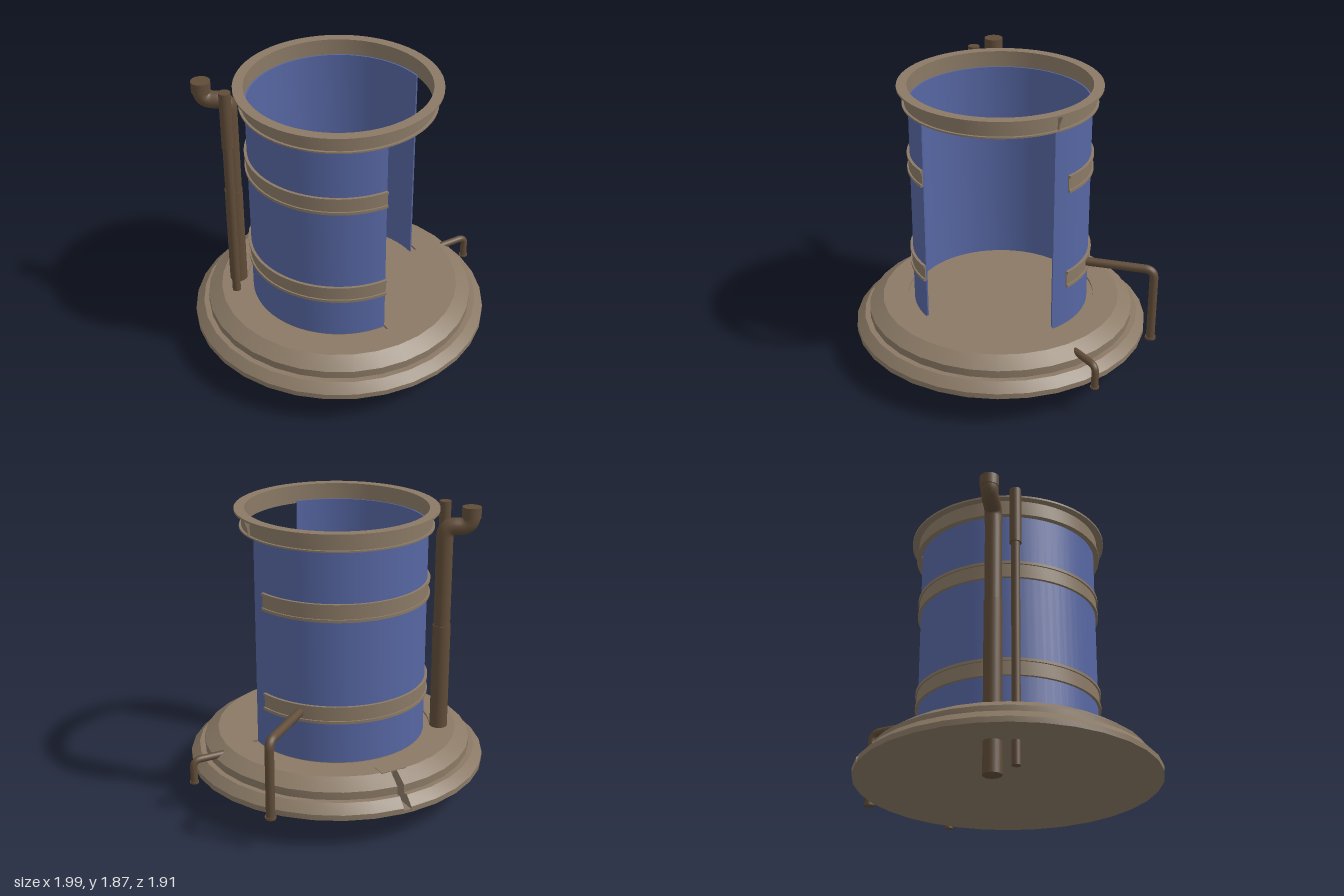
import * as THREE from 'three';
import { toCreasedNormals } from 'three/addons/utils/BufferGeometryUtils.js';

const PI = Math.PI;
const V = (x, y, z) => new THREE.Vector3(x, y, z);

export function createModel() {
  const mat = (name, color, side = THREE.FrontSide) => {
    const m = new THREE.MeshStandardMaterial({ color, side });
    m.name = name;
    return m;
  };
  const tan = mat('tan metal', 0x8a7965, THREE.DoubleSide);
  const blue = mat('blue wall', 0x5666a2, THREE.DoubleSide);
  const brown = mat('dark brown pipe', 0x604c38);

  const model = new THREE.Group();
  model.name = 'cylindricalTank';
  // Everything round shares one axis, slightly left of centre
  const body = new THREE.Group();
  body.name = 'tankBody';
  body.position.x = -0.045;
  model.add(body);

  const add = (parent, name, geo, material) => {
    const mesh = new THREE.Mesh(geo, material);
    mesh.name = name;
    parent.add(mesh);
    return mesh;
  };

  // Revolve a closed [radius, y] profile (counter-clockwise); 0 is the front, PI/2 the left side
  function ring(name, profile, material, start = 0, end = 2 * PI, segs = 64) {
    const group = new THREE.Group();
    group.name = name;
    body.add(group);
    const pts = profile.map(p => new THREE.Vector2(...p));
    const closed = [...pts, pts[0].clone()];
    const lathe = new THREE.LatheGeometry(closed, segs, start, end - start);
    add(group, name + 'Surface', toCreasedNormals(lathe, 0.5), material);
    if (end - start < 2 * PI - 0.001) {
      for (const phi of [start, end]) {
        const cap = add(group, name + 'End', new THREE.ShapeGeometry(new THREE.Shape(pts)), material);
        cap.rotation.y = phi - PI / 2;
      }
    }
    return group;
  }
  const rect = (r0, r1, y0, y1) => [[r0, y0], [r1, y0], [r1, y1], [r0, y1]];

  // Stepped base with a narrow radial slot at the back
  const slot = 0.053;
  ring('steppedBase', [[0.72, 0.2], [0.955, 0.2], [0.955, 0.235], [0.9, 0.29], [0.865, 0.29],
    [0.865, 0.34], [0.775, 0.4], [0.72, 0.4]], tan, PI, 3 * PI - slot, 32);
  ring('slotFloor', rect(0.72, 0.953, 0.2, 0.22), tan, PI - slot, PI, 2);
  ring('baseCore', rect(0, 0.725, 0.2, 0.385), tan);
  ring('baseTop', rect(0.61, 0.725, 0.385, 0.4), tan);
  ring('floor', rect(0, 0.565, 0.385, 0.4), tan);
  ring('threshold', rect(0.565, 0.61, 0.385, 0.4), tan, 0, PI / 2, 16);
  const head = add(body, 'slotHead', new THREE.BoxGeometry(0.17, 0.006, 0.09), tan);
  head.position.set(0.02, 0.4, -0.73);

  // Three-quarter wall, open at the front left
  ring('wall', rect(0.557, 0.567, 0.39, 1.76), blue, PI / 2, 2 * PI, 54);

  // Flanged bands around the wall
  for (const [name, y] of [['lowerBand', 0.655], ['upperBand', 1.31]]) {
    ring(name, [[0.566, y], [0.585, y], [0.585, y + 0.018], [0.575, y + 0.018],
      [0.575, y + 0.094], [0.585, y + 0.094], [0.585, y + 0.112], [0.566, y + 0.112]],
    tan, 1.763, 2 * PI, 52);
  }

  // Top rim with flanges and a small gusset
  ring('rim', [[0.57, 1.745], [0.605, 1.745], [0.605, 1.755], [0.59, 1.755],
    [0.59, 1.85], [0.635, 1.85], [0.635, 1.863], [0.57, 1.863]], tan);
  const gusset = new THREE.Shape([[0.588, 1.755], [0.6, 1.755], [0.608, 1.8], [0.63, 1.851],
    [0.588, 1.851]].map(p => new THREE.Vector2(...p)));
  add(body, 'rimGusset', new THREE.ExtrudeGeometry(gusset, { depth: 0.008, bevelEnabled: false }), tan)
    .position.z = -0.004;

  // Upright round piece between two heights
  function upright(name, x, z, r, y0, y1) {
    add(model, name, new THREE.CylinderGeometry(r, r, y1 - y0, 24), brown)
      .position.set(x, (y0 + y1) / 2, z);
  }
  // Tube along straight runs with rounded corners
  function bentPipe(name, pts, r, bend) {
    const path = new THREE.CurvePath();
    let from = pts[0];
    for (let i = 1; i < pts.length - 1; i++) {
      const p = pts[i];
      const a = p.clone().add(pts[i - 1].clone().sub(p).setLength(bend));
      const b = p.clone().add(pts[i + 1].clone().sub(p).setLength(bend));
      path.add(new THREE.LineCurve3(from, a));
      path.add(new THREE.QuadraticBezierCurve3(a, p, b));
      from = b;
    }
    path.add(new THREE.LineCurve3(from, pts[pts.length - 1]));
    add(model, name, new THREE.TubeGeometry(path, 80, r, 16), brown);
  }

  // Main pipe with an elbow ending in an upturned mouth
  upright('mainPipeLower', -0.615, -0.345, 0.057, 0, 1.1);
  upright('mainPipeUpper', -0.615, -0.345, 0.053, 1.1, 1.67);
  bentPipe('mainPipeElbow', [V(-0.615, 1.64, -0.345), V(-0.615, 1.745, -0.345),
    V(-0.75, 1.745, -0.43), V(-0.75, 1.86, -0.43)], 0.054, 0.07);
  upright('mainPipeMouth', -0.75, -0.43, 0.06, 1.8, 1.87);

  // Slim pipe with a thicker sleeve at the top
  upright('slimPipe', -0.687, -0.23, 0.027, 0.05, 1.5);
  upright('slimPipeSleeve', -0.687, -0.23, 0.037, 1.49, 1.87);

  // Drain pipes that turn down outside the base
  bentPipe('wallDrain', [V(0.4, 0.71, -0.357), V(0.738, 0.71, -0.64), V(0.738, 0.205, -0.64)], 0.028, 0.06);
  upright('wallDrainFoot', 0.738, -0.64, 0.035, 0.205, 0.22);
  bentPipe('baseDrain', [V(0.74, 0.355, 0), V(0.966, 0.355, 0), V(0.966, 0.2, 0)], 0.023, 0.05);
  upright('baseDrainFoot', 0.966, 0, 0.028, 0.2, 0.212);

  return model;
}
